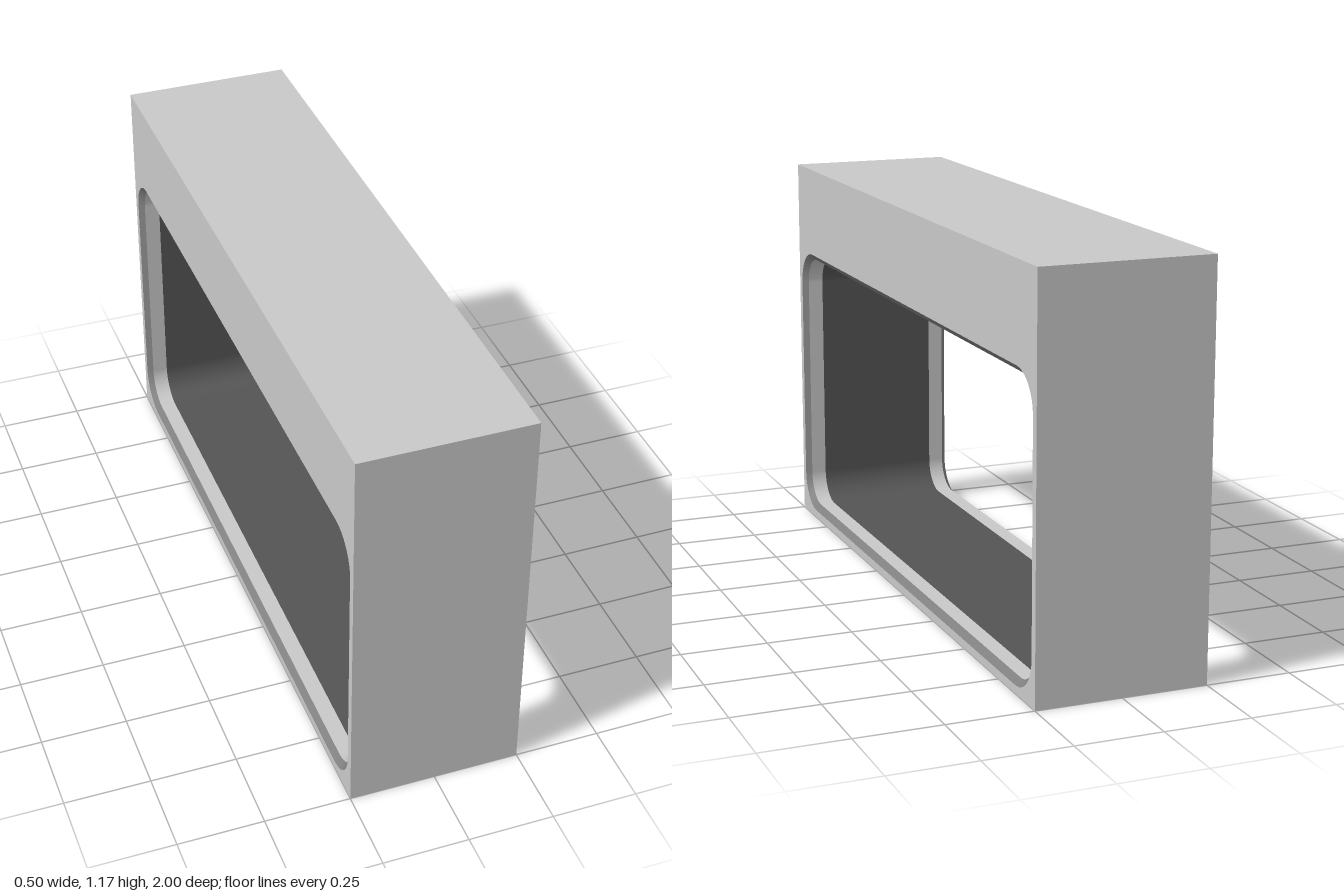
import * as THREE from 'three';

const HALF_DEPTH = 0.25, HEIGHT = 1.17, HALF_LENGTH = 1;

// Counter-clockwise rounded rectangle around the opening, shrunk by an inset
function openingLoop(inset) {
  const w = 0.976 - inset, y0 = 0.024 + inset, y1 = 0.892 - inset, r = 0.11 - inset;
  const corners = [[w - r, y1 - r], [-w + r, y1 - r], [-w + r, y0 + r], [w - r, y0 + r]];
  const points = [];
  corners.forEach(([cx, cy], c) => {
    for (let i = 0; i <= 12; i++) {
      const a = (c + i / 12) * Math.PI / 2;
      points.push(new THREE.Vector2(cx + r * Math.cos(a), cy + r * Math.sin(a)));
    }
  });
  return points;
}

// Wall between two loops at two depths, facing outward or inward
function loft(loopA, depthA, loopB, depthB, inward) {
  const n = loopA.length, positions = [], index = [];
  loopA.forEach(p => positions.push(p.x, p.y, depthA));
  loopB.forEach(p => positions.push(p.x, p.y, depthB));
  for (let i = 0; i < n; i++) {
    const j = (i + 1) % n;
    if (inward) index.push(i, n + j, j, i, n + i, n + j);
    else index.push(i, j, n + j, i, n + j, n + i);
  }
  const g = new THREE.BufferGeometry();
  g.setAttribute('position', new THREE.Float32BufferAttribute(positions, 3));
  g.setIndex(index);
  const result = inward ? g : g.toNonIndexed();
  result.computeVertexNormals();
  return result;
}

export function createModel() {
  const group = new THREE.Group();
  const material = (name, color) => {
    const m = new THREE.MeshStandardMaterial({ color });
    m.name = name;
    return m;
  };
  const casing = material('light grey casing', 0xc8c8c8);
  const trim = material('mid grey trim', 0x808080);
  const lining = material('dark grey lining', 0x545454);

  // Profiles are drawn along the length, then turned so depth runs along x
  const add = (name, geometry, mat) => {
    geometry.rotateY(Math.PI / 2);
    const mesh = new THREE.Mesh(geometry, mat);
    mesh.name = name;
    group.add(mesh);
  };

  const outline = [[1, 0], [1, 1], [-1, 1], [-1, 0]]
    .map(([u, v]) => new THREE.Vector2(u * HALF_LENGTH, v * HEIGHT));
  const outer = openingLoop(0), inner = openingLoop(0.019);
  const bevelDepth = HALF_DEPTH - 0.016, liningDepth = 0.187;

  // Outer walls of the block
  add('outerWalls', loft(outline, -HALF_DEPTH, outline, HALF_DEPTH, false), casing);

  // Both pierced faces with their bevelled rims and pale inner lips
  for (const side of [1, -1]) {
    const label = side > 0 ? 'left' : 'right';
    const shape = new THREE.Shape(outline);
    shape.holes.push(new THREE.Path(outer));
    const face = new THREE.ShapeGeometry(shape);
    if (side < 0) face.rotateY(Math.PI);
    face.translate(0, 0, side * HALF_DEPTH);
    add(label + 'Face', face, casing);

    const ring = (loopOut, depthOut, loopIn, depthIn) => side > 0
      ? loft(loopIn, depthIn, loopOut, depthOut, true)
      : loft(loopOut, -depthOut, loopIn, -depthIn, true);
    add(label + 'BevelledRim', ring(outer, HALF_DEPTH, inner, bevelDepth), trim);
    add(label + 'InnerLip', ring(inner, bevelDepth, inner, liningDepth), casing);
  }

  // Dark sleeve through the middle of the opening
  add('openingLining', loft(inner, -liningDepth, inner, liningDepth, true), lining);

  return group;
}
